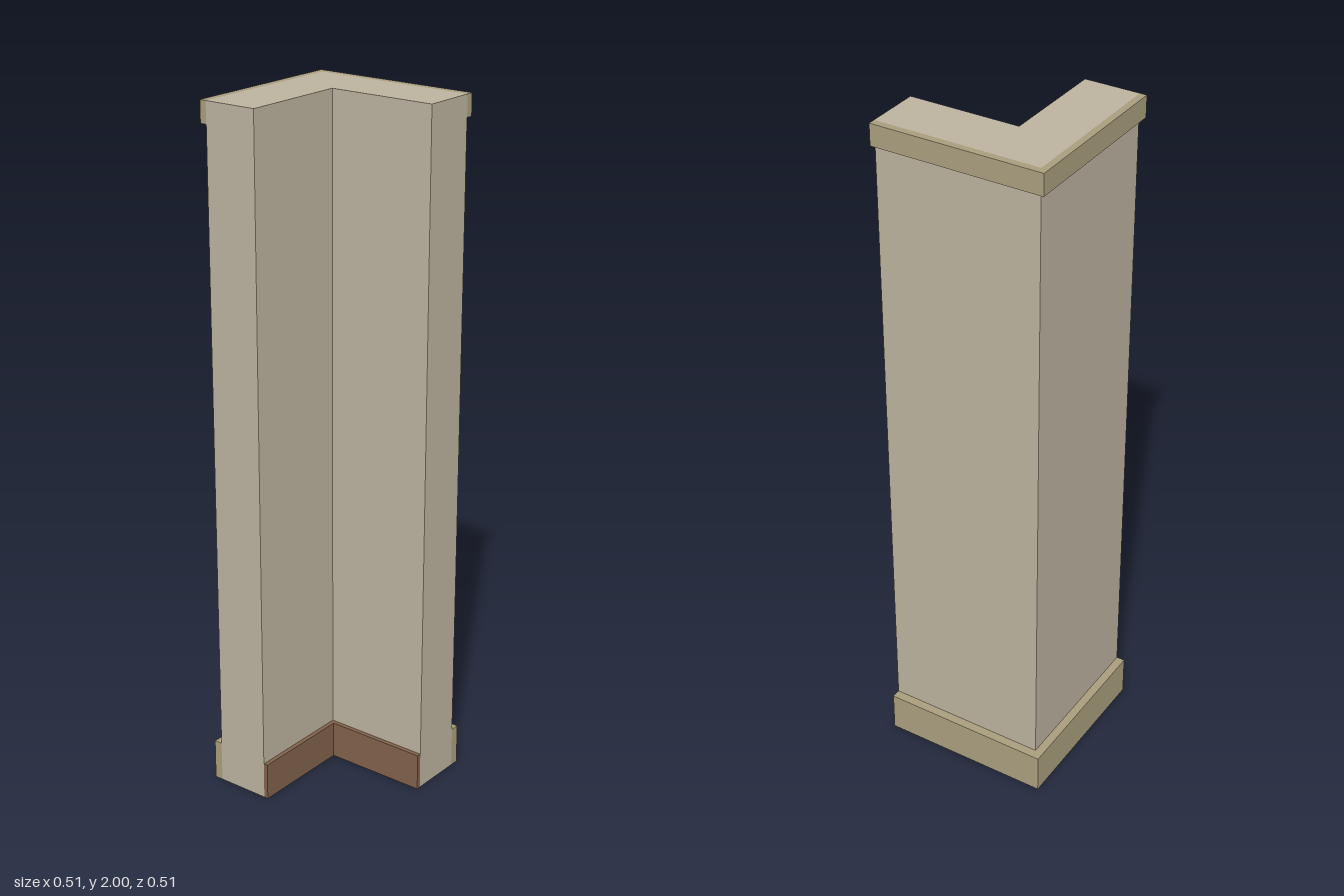
import * as THREE from 'three';

const END_X = -0.253; // open end of the back leg
const END_Z = 0.253;  // open end of the side leg

// L-shaped prism between an outer corner and an inner corner (x, z)
function cornerPrism(name, outer, inner, y, height, color) {
  const points = [
    [END_X, outer[1]], [outer[0], outer[1]], [outer[0], END_Z],
    [inner[0], END_Z], [inner[0], inner[1]], [END_X, inner[1]],
  ].map(([x, z]) => new THREE.Vector2(x, -z));
  const geometry = new THREE.ExtrudeGeometry(new THREE.Shape(points), {
    depth: height, bevelEnabled: false,
  });
  geometry.rotateX(-Math.PI / 2);
  geometry.translate(0, y, 0);
  const mesh = new THREE.Mesh(geometry, new THREE.MeshStandardMaterial({ color }));
  mesh.name = name;
  return mesh;
}

export function createModel() {
  const group = new THREE.Group();
  group.name = 'wallCorner';
  const outerWall = [0.226, -0.228];
  const innerWall = [0.067, -0.068];

  group.add(
    // plastered wall, full height
    cornerPrism('wall', outerWall, innerWall, 0, 2, 0xbcb29e),
    // projecting bands on the outside faces
    cornerPrism('plinth', [0.253, -0.253], outerWall, 0, 0.12, 0xa99e7d),
    cornerPrism('topBand', [0.247, -0.248], outerWall, 1.938, 0.062, 0xa99e7d),
    // skirting board on the inside faces
    cornerPrism('skirtingBoard', innerWall, [0.054, -0.055], 0, 0.11, 0x80614a),
  );
  return group;
}
